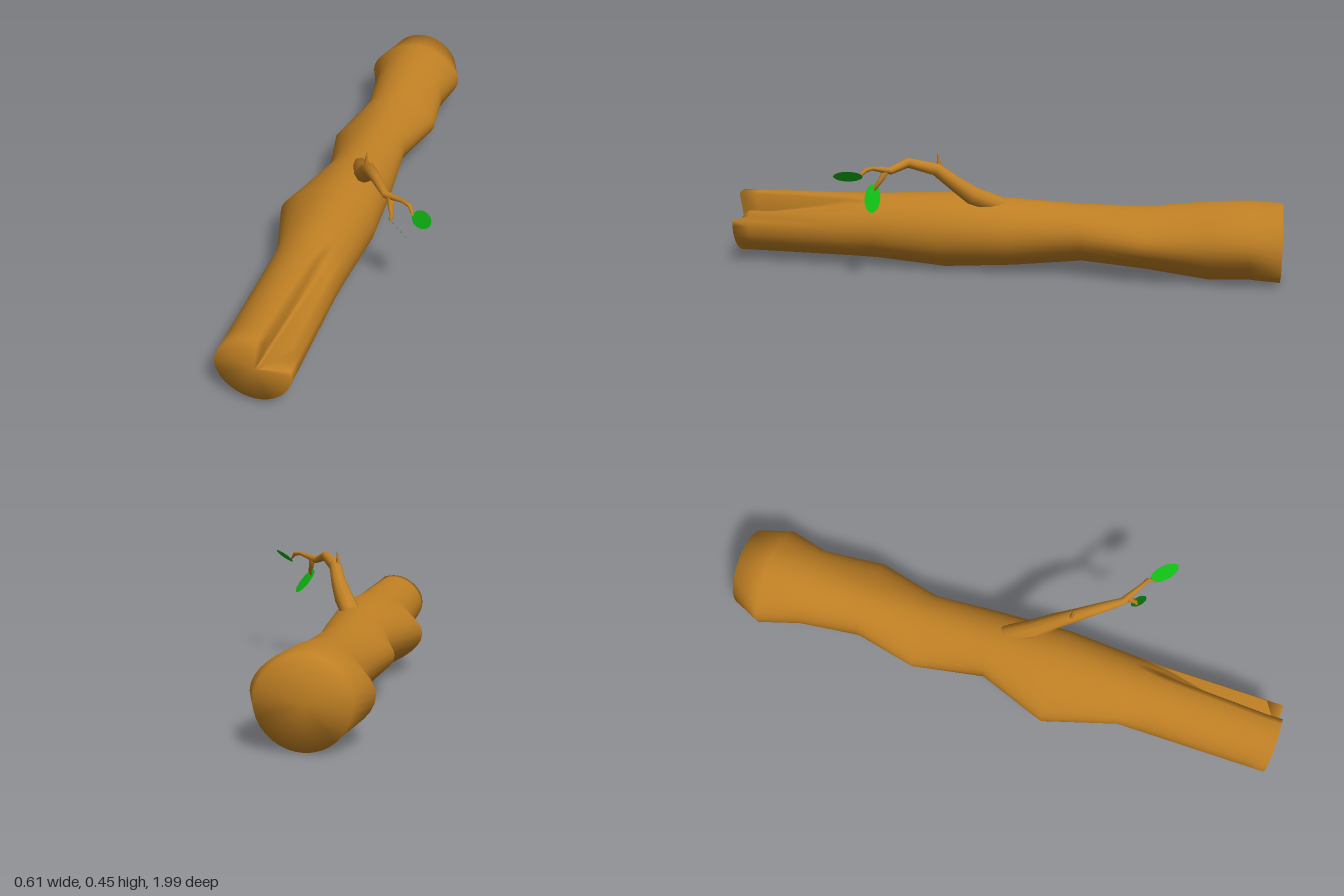
import * as THREE from 'three';

const bark = new THREE.MeshStandardMaterial({ color: 0xc08024 });
const green = new THREE.MeshStandardMaterial({ color: 0x10b814, side: THREE.DoubleSide });

// Skins a row of closed rings and closes both ends with a fan to a centre point
function loft(rings, startCentre, endCentre) {
  const n = rings[0].length, last = (rings.length - 1) * n;
  const points = [...rings.flat(), startCentre, endCentre];
  const s = rings.length * n, e = s + 1, index = [];
  for (let j = 0; j < n; j++) {
    const k = (j + 1) % n;
    for (let i = 0; i < rings.length - 1; i++) {
      const a = i * n + j, b = i * n + k;
      index.push(a, a + n, b, b, a + n, b + n);
    }
    index.push(s, j, k, e, last + k, last + j);
  }
  const geo = new THREE.BufferGeometry().setFromPoints(points);
  geo.setIndex(index);
  geo.computeVertexNormals();
  return geo;
}

// Tapered tube through stations [x, y, z, radius]
function limb(name, stations, sides = 10) {
  const pts = stations.map(([x, y, z]) => new THREE.Vector3(x, y, z));
  const rings = pts.map((p, i) => {
    const t = pts[Math.min(i + 1, pts.length - 1)].clone().sub(pts[Math.max(i - 1, 0)]).normalize();
    const v = new THREE.Vector3(1, 0, -1).cross(t).normalize();
    const u = t.clone().cross(v);
    return Array.from({ length: sides }, (_, j) => {
      const a = (j / sides) * Math.PI * 2, r = stations[i][3];
      return p.clone().addScaledVector(u, r * Math.cos(a)).addScaledVector(v, r * Math.sin(a));
    });
  });
  const mesh = new THREE.Mesh(loft(rings, pts[0], pts[pts.length - 1]), bark);
  mesh.name = name;
  return mesh;
}

// Log: z, left edge, right edge, bottom, top, depth of the split
function trunk() {
  const stations = [
    [0.993, -0.225, 0.02, 0.03, 0.26, 0.78],
    [0.93, -0.225, 0.02, 0.03, 0.26, 0.66],
    [0.56, -0.225, 0.02, 0.027, 0.264, 0],
    [0.46, -0.225, 0.025, 0.025, 0.266, 0],
    [0.2, -0.305, 0.04, 0.005, 0.28, 0],
    [-0.05, -0.21, 0.03, 0.022, 0.266, 0],
    [-0.3, -0.265, 0.01, 0.05, 0.255, 0],
    [-0.53, -0.21, 0.07, 0.032, 0.256, 0],
    [-0.75, -0.235, 0.045, 0.005, 0.282, 0],
    [-0.89, -0.285, 0.08, 0.012, 0.29, 0],
    [-0.998, -0.235, 0.045, 0.005, 0.285, 0],
  ];
  const cx = -0.1, sides = 36;
  const rings = stations.map(([z, x0, x1, y0, y1, split], row) =>
    Array.from({ length: sides }, (_, j) => {
      const a = (j / sides) * Math.PI * 2, c = Math.cos(a);
      const r = (y1 - y0) / 2, cy = (y0 + y1) / 2;
      // side knots bulge out from a round section
      const bump = c < 0 ? cx - x0 - r : x1 - cx - r;
      // the split is a notch that widens at the front end
      const inSplit = j >= (row === 0 ? 2 : 4) && j <= 6;
      const k = inSplit ? 1 - split : 1;
      return new THREE.Vector3(cx + k * (r * c + bump * c ** 3), cy + k * r * Math.sin(a), z);
    }));
  const mesh = new THREE.Mesh(
    loft(rings, new THREE.Vector3(cx, 0.145, 0.993), new THREE.Vector3(cx, 0.145, -0.998)), bark);
  mesh.name = 'trunk';
  return mesh;
}

// Flat oval leaf given its centre, long axis and width direction
function leaf(name, centre, along, across, length, width) {
  const a = new THREE.Vector3(...along).normalize();
  const n = a.clone().cross(new THREE.Vector3(...across)).normalize();
  const w = n.clone().cross(a);
  const mesh = new THREE.Mesh(new THREE.CircleGeometry(0.5, 28).scale(length, width, 1), green);
  mesh.quaternion.setFromRotationMatrix(new THREE.Matrix4().makeBasis(a, w, n));
  mesh.position.set(...centre);
  mesh.name = name;
  return mesh;
}

export function createModel() {
  const model = new THREE.Group();
  model.name = 'log';
  model.add(
    trunk(),
    limb('branch', [
      [-0.075, 0.24, -0.01, 0.034], [-0.03, 0.285, 0.09, 0.034], [0.0, 0.335, 0.15, 0.027],
      [0.022, 0.385, 0.21, 0.023], [0.075, 0.415, 0.3, 0.018], [0.122, 0.392, 0.35, 0.013],
      [0.19, 0.411, 0.395, 0.007], [0.217, 0.408, 0.41, 0.008], [0.235, 0.385, 0.43, 0.003],
    ]),
    limb('twig', [
      [0.14, 0.393, 0.362, 0.013], [0.146, 0.362, 0.378, 0.009],
      [0.153, 0.345, 0.39, 0.008], [0.15, 0.325, 0.4, 0.003],
    ], 8),
    limb('thorn', [[0.01, 0.375, 0.2, 0.01], [0.012, 0.41, 0.203, 0.007], [0.015, 0.45, 0.206, 0.0005]], 6),
    leaf('upperLeaf', [0.268, 0.394, 0.456], [0.68, 0.18, 0.71], [0.45, 0.72, -0.6], 0.108, 0.054),
    leaf('lowerLeaf', [0.175, 0.303, 0.4], [0.64, -0.77, -0.05], [-0.45, -0.35, -0.8], 0.112, 0.057),
  );
  return model;
}
